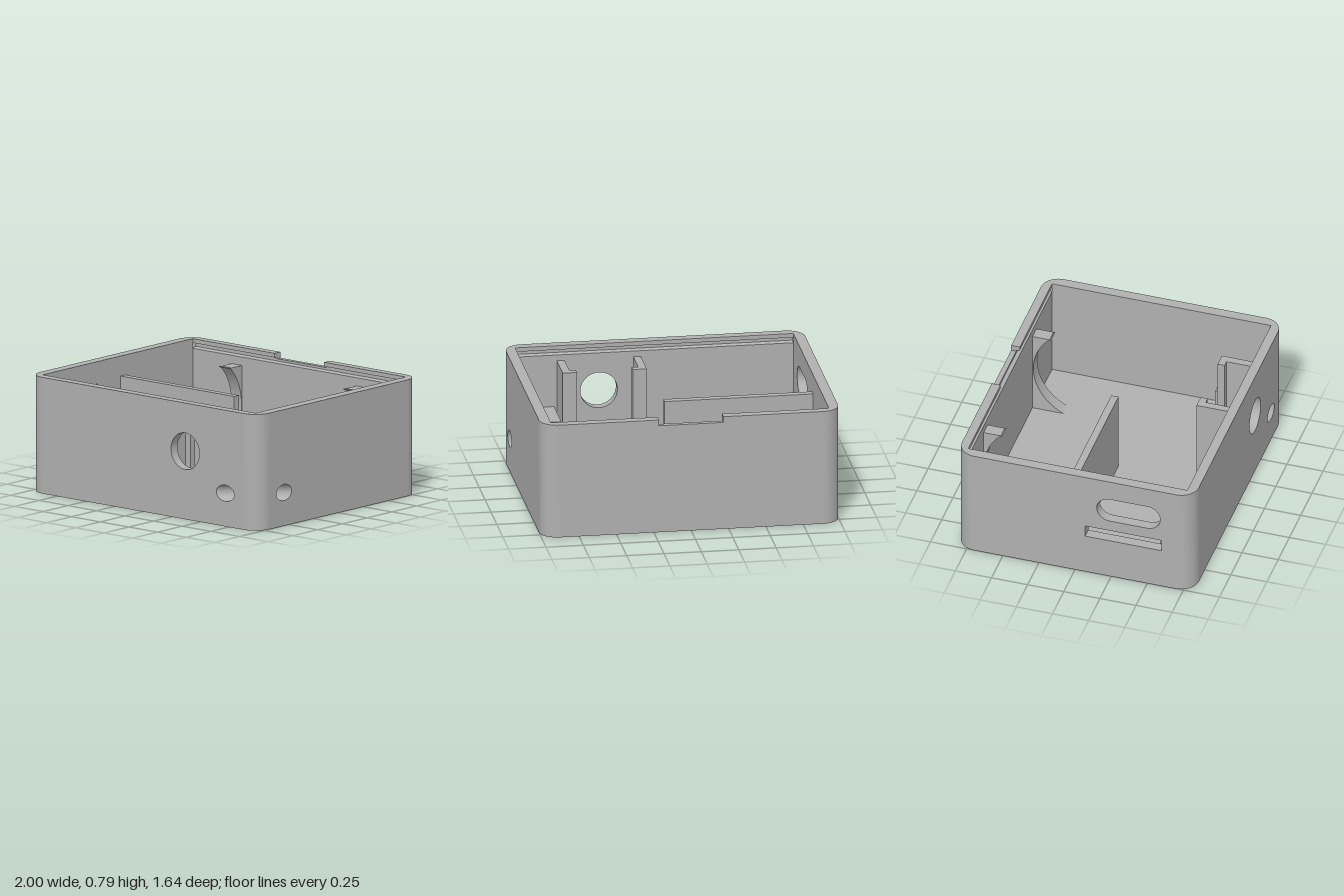
import * as THREE from 'three';
import { toCreasedNormals } from 'three/addons/utils/BufferGeometryUtils.js';

const grey = new THREE.MeshStandardMaterial({ color: 0xb0b0b0, side: THREE.DoubleSide });
grey.name = 'grey plastic';

// Main sizes: outer half extents, height, inner walls, floor, corner radius
const X = 1, Z = 0.82, H = 0.785, R = 0.12;
const IX = 0.93, ZB = -0.76, ZF = 0.755, FLOOR = 0.07;

// Planes: map a 2D point onto a wall or level
const onZ = z => ([a, b]) => [a, b, z];
const onX = x => ([a, b]) => [x, b, a];
const onY = y => ([a, b]) => [a, y, b];

// 2D outlines
const rect = (a0, b0, a1, b1) => [[a0, b0], [a1, b0], [a1, b1], [a0, b1]];
const arc = (cx, cy, rx, ry, from, to, n) => Array.from({ length: n + 1 }, (_, i) => {
  const t = from + (to - from) * i / n;
  return [cx + rx * Math.cos(t), cy + ry * Math.sin(t)];
});
const oval = (cx, cy, rx, ry = rx) => arc(cx, cy, rx, ry, 0, Math.PI * 2, 40).slice(0, -1);
const corner = (sx, sz, from) => arc(sx * (X - R), sz * (Z - R), R, R, from, from + Math.PI / 2, 10);

function geometry(points, index) {
  const g = new THREE.BufferGeometry();
  g.setAttribute('position', new THREE.Float32BufferAttribute(points.flat(), 3));
  g.setIndex(index);
  g.computeVertexNormals();
  return toCreasedNormals(g, 0.6);
}

// Flat face with holes
function face(outline, holes, map) {
  const vec = list => list.map(p => new THREE.Vector2(p[0], p[1]));
  const tris = THREE.ShapeUtils.triangulateShape(vec(outline), holes.map(vec));
  return geometry([outline, ...holes].flat().map(map), tris.flat());
}

// Ruled surface between two matching 3D outlines
function ruled(a, b, closed = true) {
  const n = a.length, index = [];
  for (let i = 0; i < (closed ? n : n - 1); i++) {
    const j = (i + 1) % n;
    index.push(i, j, n + j, i, n + j, n + i);
  }
  return geometry([...a, ...b], index);
}

export function createModel() {
  const model = new THREE.Group();
  model.name = 'enclosure';
  const add = (name, g) => {
    const mesh = new THREE.Mesh(g, grey);
    mesh.name = name;
    model.add(mesh);
  };
  const box = (name, x0, x1, y0, y1, z0, z1) => add(name,
    new THREE.BoxGeometry(x1 - x0, y1 - y0, z1 - z0)
      .translate((x0 + x1) / 2, (y0 + y1) / 2, (z0 + z1) / 2));

  // Openings
  const frontHole = oval(0.37, 0.46, 0.124);
  const cordFront = oval(0.72, 0.225, 0.0775, 0.055);
  const cordSide = oval(0.55, 0.225, -0.0775, 0.055);
  const pill = [...arc(0.5, 0.55, 0.09, 0.09, -Math.PI / 2, Math.PI / 2, 16),
    ...arc(0.24, 0.55, 0.09, 0.09, Math.PI / 2, Math.PI * 1.5, 16)];
  const slot = rect(0.07, 0.295, 0.6, 0.38);
  const screwA = oval(-0.85, 0.10, 0.035), screwB = oval(-0.85, 0.61, 0.035);
  const coneWide = oval(-0.77, 0.325, 0.178), coneNarrow = oval(-0.77, 0.325, 0.11);

  // Latch notch in the back wall
  const NX = 0.215, NY = 0.745;

  // Outer skin
  const px = X - R, pz = Z - R;
  add('frontOuterWall', face(rect(-px, 0, px, H), [frontHole, cordFront], onZ(Z)));
  add('backOuterWall', face([[-px, 0], [px, 0], [px, H], [NX, H], [NX, NY], [-NX, NY], [-NX, H], [-px, H]], [], onZ(-Z)));
  add('rightOuterWall', face(rect(-pz, 0, pz, H), [cordSide], onX(X)));
  add('leftOuterWall', face(rect(-pz, 0, pz, H), [pill, slot], onX(-X)));
  const corners = [corner(1, -1, -Math.PI / 2), corner(1, 1, 0),
    corner(-1, 1, Math.PI / 2), corner(-1, -1, Math.PI)];
  for (const c of corners) add('roundedCorner', ruled(c.map(onY(0)), c.map(onY(H)), false));
  add('underside', face(corners.flat(), [screwA, screwB, coneWide], onY(0)));

  // Top rim, open at the notch
  add('rim', face([[NX, -Z], ...corners.flat(), [-NX, -Z], [-NX, ZB],
    [-IX, ZB], [-IX, ZF], [IX, ZF], [IX, ZB], [NX, ZB]], [], onY(H)));

  // Inner skin, leaving room for the corner block
  const BX = 0.67, BZ = 0.45, BY = 0.36, GY = 0.72;
  add('floor', face(rect(-IX, ZB, IX, ZF), [screwA, screwB, coneNarrow], onY(FLOOR)));
  add('frontInnerWall', face([[-IX, FLOOR], [BX, FLOOR], [BX, BY], [IX, BY], [IX, GY], [-IX, GY]], [frontHole], onZ(ZF)));
  add('backInnerWall', face(rect(-IX, FLOOR, IX, GY), [], onZ(ZB)));
  add('rightInnerWall', face([[ZB, FLOOR], [BZ, FLOOR], [BZ, BY], [ZF, BY], [ZF, H], [ZB, H]], [], onX(IX)));
  add('leftInnerWall', face(rect(ZB, FLOOR, ZF, H), [pill, slot], onX(-IX)));

  // Lid grooves under the rim, front and back
  const groove = (z, s) => [[z, GY], [z + s * 0.025, 0.73], [z + s * 0.025, 0.75], [z, 0.757], [z, H]];
  const strip = (name, profile, x0, x1) =>
    add(name, ruled(profile.map(onX(x0)), profile.map(onX(x1)), false));
  strip('frontGroove', groove(ZF, 1), -IX, IX);
  strip('backGroove', groove(ZB, -1), -IX, -NX);
  strip('backGroove', groove(ZB, -1), NX, IX);
  strip('notchFloor', [[ZB, GY], [-0.785, 0.73], [-0.785, NY], [-Z, NY]], -NX, NX);
  for (const s of [-1, 1]) {
    add('notchEnd', face([[-Z, NY], [-Z, H], [ZB, H], [ZB, 0.757], [-0.785, 0.75], [-0.785, NY]], [], onX(s * NX)));
  }

  // Linings of the openings
  add('frontHoleLining', ruled(frontHole.map(onZ(ZF)), frontHole.map(onZ(Z))));
  add('pillLining', ruled(pill.map(onX(-IX)), pill.map(onX(-X))));
  add('slotLining', ruled(slot.map(onX(-IX)), slot.map(onX(-X))));
  add('cordTunnel', ruled(cordFront.map(onZ(Z)), cordSide.map(([z, y]) => [X, y, 1.1 - z])
    .map(([x, y, z]) => [x, y, z])));
  add('screwHoleLining', ruled(screwA.map(onY(0)), screwA.map(onY(FLOOR))));
  add('countersink', ruled(coneWide.map(onY(0)), coneNarrow.map(onY(FLOOR))));

  // Hollow screw boss
  const bossTop = 0.27, bossRing = oval(-0.85, 0.61, 0.063);
  add('bossSide', ruled(bossRing.map(onY(FLOOR)), bossRing.map(onY(bossTop))));
  add('bossTop', face(bossRing, [screwB], onY(bossTop)));
  add('bossBore', ruled(screwB.map(onY(0)), screwB.map(onY(bossTop))));

  // Corner block around the cord tunnel
  add('cornerBlockTop', face(rect(BX, BZ, IX, ZF), [], onY(BY)));
  add('cornerBlockSide', face(rect(BZ, FLOOR, ZF, BY), [], onX(BX)));
  add('cornerBlockBack', face(rect(BX, FLOOR, IX, BY), [], onZ(BZ)));

  // Divider and the board holder behind the front hole
  box('divider', -IX, 0.063, FLOOR, 0.65, -0.08, -0.03);
  box('holderShelf', 0.14, 0.6, FLOOR, 0.16, 0.502, ZF);
  box('holderRail', 0.09, 0.14, FLOOR, 0.68, 0.502, ZF);
  box('holderRail', 0.6, 0.652, FLOOR, 0.68, 0.502, ZF);
  box('holderLip', 0.14, 0.183, 0.16, 0.68, 0.502, 0.55);
  box('holderLip', 0.557, 0.6, 0.16, 0.68, 0.502, 0.55);

  // Curved cradles on the back wall
  const cradle = new THREE.Shape([[ZB, FLOOR],
    ...arc(-0.39, 0.4, 0.365, 0.365, 4.273, 2.31, 24), [-0.63, 0.664], [ZB, 0.664]]
    .map(p => new THREE.Vector2(...p)));
  for (const x of [-0.5, 0.585]) {
    const g = new THREE.ExtrudeGeometry(cradle, { depth: 0.088, bevelEnabled: false });
    add('cradle', toCreasedNormals(g.rotateY(-Math.PI / 2).translate(x, 0, 0), 0.6));
  }
  return model;
}
